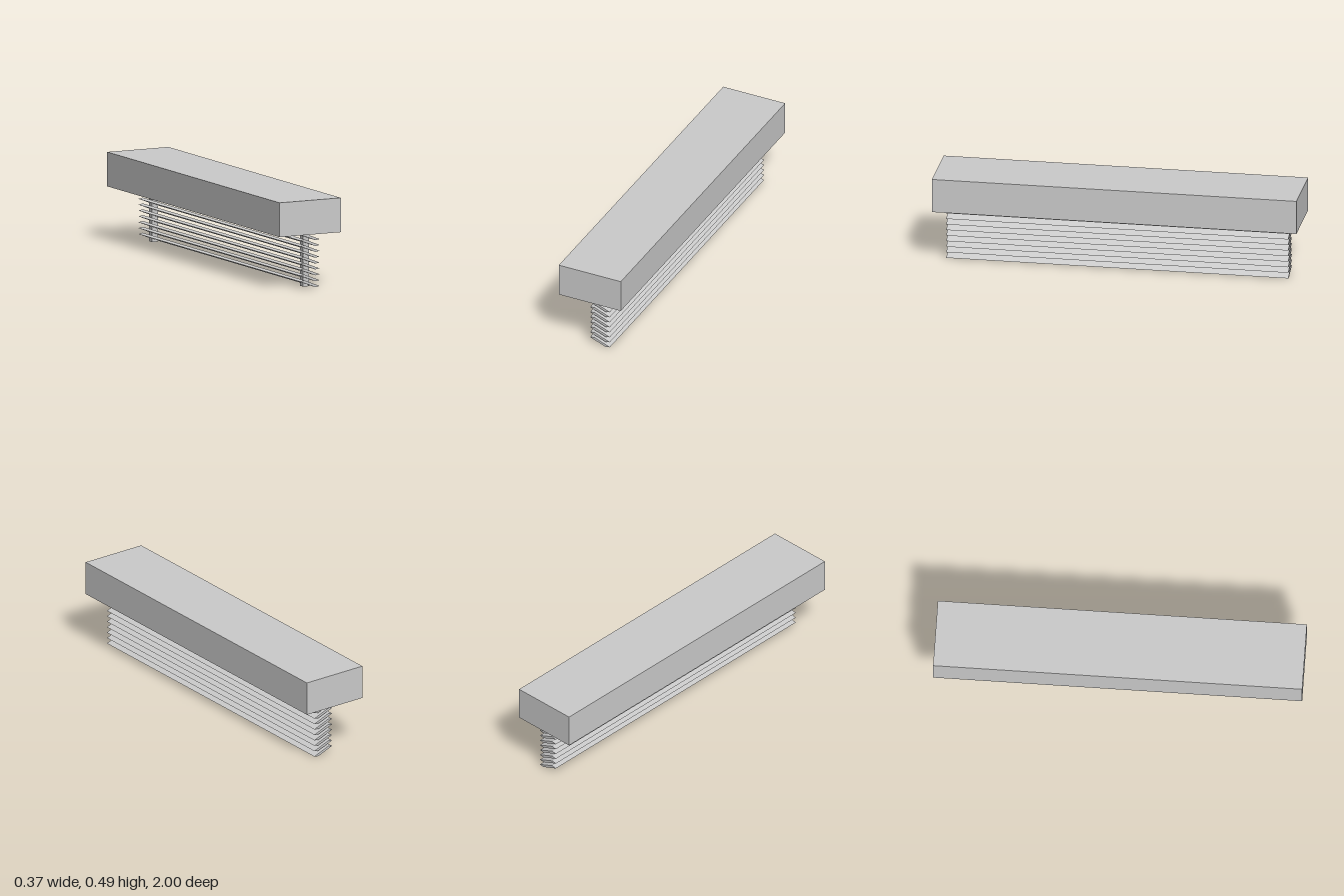
import * as THREE from 'three';

const material = new THREE.MeshStandardMaterial({ color: 0xcccccc, flatShading: true });

function addMesh(parent, name, geometry, x, y, z) {
  const mesh = new THREE.Mesh(geometry, material);
  mesh.name = name;
  mesh.position.set(x, y, z);
  parent.add(mesh);
}

export function createModel() {
  const group = new THREE.Group();
  group.name = 'windowBlind';

  // Head box
  addMesh(group, 'headBox', new THREE.BoxGeometry(0.374, 0.188, 2), 0, 0.394, 0);

  // Tilted slats: one slanted profile, extruded along z and stacked
  const profile = new THREE.Shape([
    new THREE.Vector2(-0.029, 0.036),
    new THREE.Vector2(0.064, 0),
    new THREE.Vector2(0.09, 0.004),
    new THREE.Vector2(-0.002, 0.041),
  ]);
  const length = 1.876;
  const slat = new THREE.ExtrudeGeometry(profile, { depth: length, bevelEnabled: false });
  slat.translate(0, 0, -length / 2);
  const slats = new THREE.Group();
  slats.name = 'slats';
  for (let i = 0; i < 9; i++) addMesh(slats, 'slat', slat, 0, i * 0.0321, 0);
  group.add(slats);

  // Square lift cords near both ends
  const cord = new THREE.BoxGeometry(0.036, 0.3, 0.036);
  for (const side of [-1, 1]) addMesh(group, 'liftCord', cord, 0.0305, 0.15, side * 0.876);

  return group;
}
